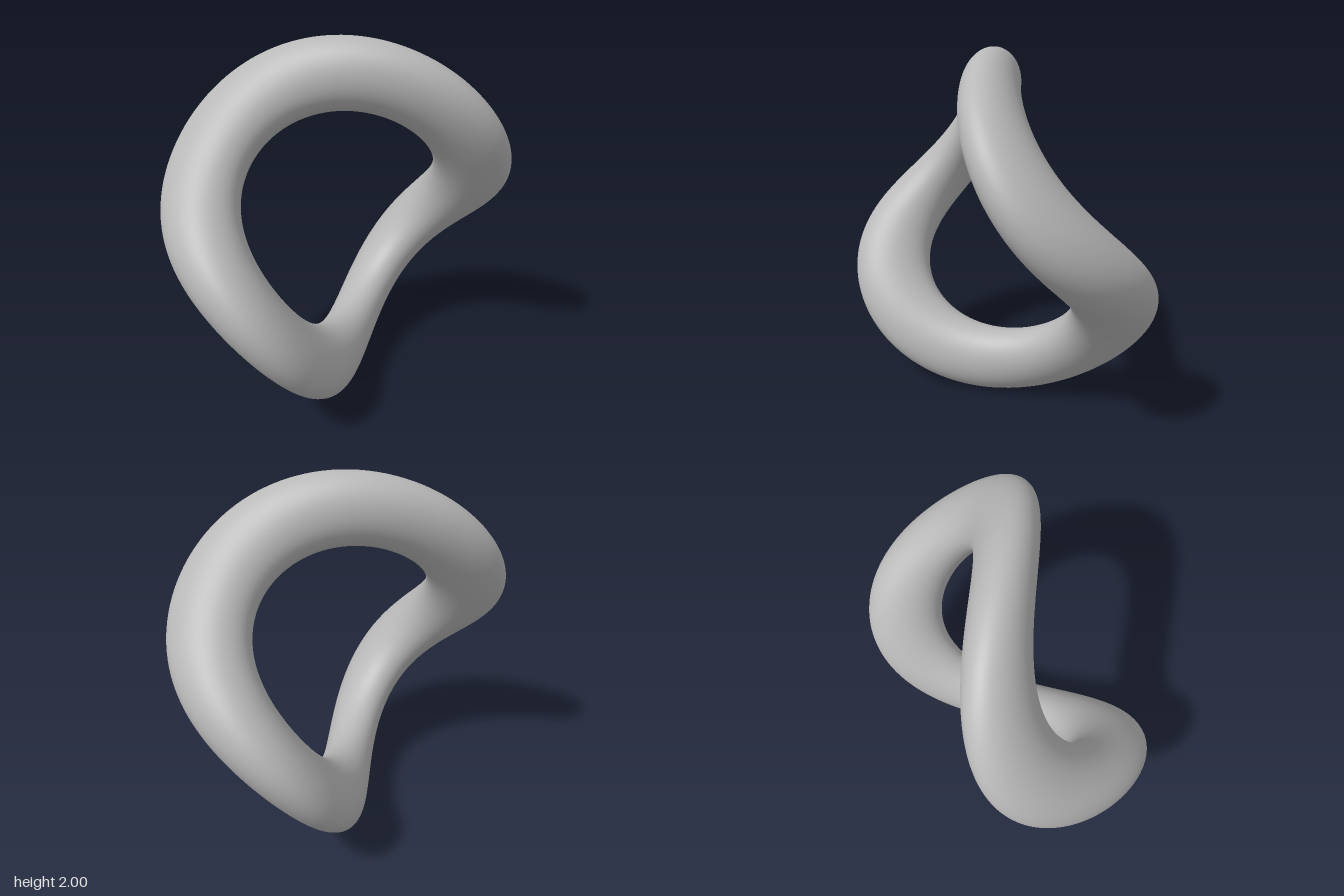
import * as THREE from 'three';
import { mergeVertices } from 'three/addons/utils/BufferGeometryUtils.js';

const RING = 0.8075; // radius of the ring's centre line
const TUBE = 0.1925; // radius of the tube
const TWIST = 1.03;  // radians of twist per unit along x

// Smooth torus, wrung about the x axis
function twistedRing() {
  const torus = new THREE.TorusGeometry(RING, TUBE, 64, 192);
  const pos = torus.attributes.position;
  for (let i = 0; i < pos.count; i++) {
    const x = pos.getX(i), y = pos.getY(i), z = pos.getZ(i);
    const c = Math.cos(TWIST * x), s = Math.sin(TWIST * x);
    pos.setXYZ(i, x, y * c - z * s, y * s + z * c);
  }
  // Weld the seams so the normals run smoothly round the loop
  torus.deleteAttribute('uv');
  torus.deleteAttribute('normal');
  const geometry = mergeVertices(torus, 1e-5);
  geometry.computeVertexNormals();
  return geometry;
}

export function createModel() {
  const model = new THREE.Group();
  model.name = 'twistedRingModel';

  const grey = new THREE.MeshStandardMaterial({ color: 0xb8b8b8 });
  grey.name = 'grey';

  const ring = new THREE.Mesh(twistedRing(), grey);
  ring.name = 'twistedRing';
  ring.position.y = 1;
  model.add(ring);

  return model;
}
